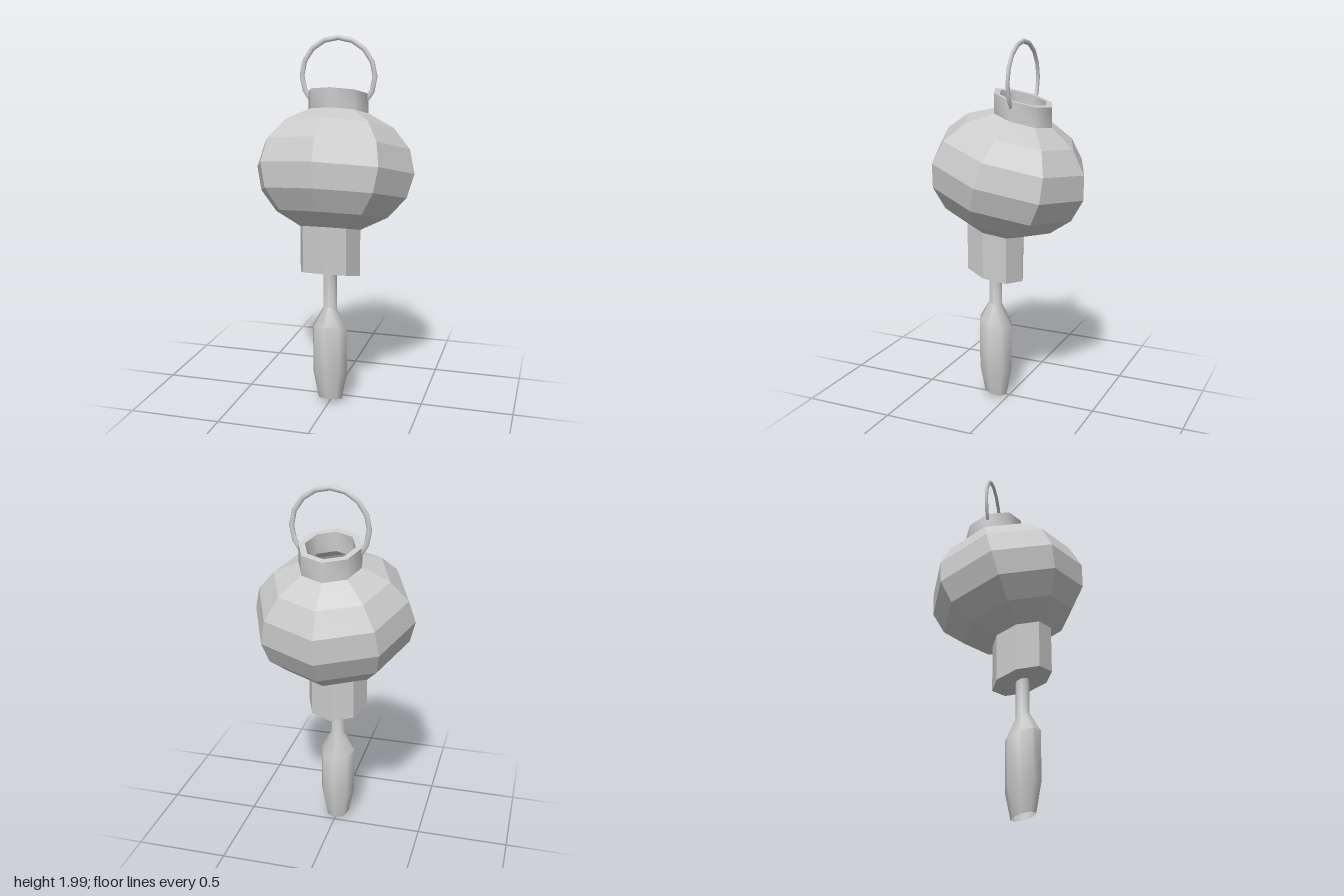
import * as THREE from 'three';
import { toCreasedNormals } from 'three/addons/utils/BufferGeometryUtils.js';

const TILT = Math.PI / 12;
const SIDES = 8;
const flat = new THREE.MeshStandardMaterial({ color: 0xcccccc, flatShading: true, side: THREE.DoubleSide });
const smooth = new THREE.MeshStandardMaterial({ color: 0xcccccc, side: THREE.DoubleSide });

const lathe = (profile) =>
  new THREE.LatheGeometry(profile.map(([r, y]) => new THREE.Vector2(r, y)), SIDES);

// Upright walls whose rings all lie in the tilted plane of the lantern.
function slantedLathe(profile, z) {
  const c = Math.cos(TILT), s = Math.sin(TILT);
  return lathe(profile).applyMatrix4(new THREE.Matrix4().set(
    1, 0, 0, 0,
    0, 1, s, 0,
    0, 0, c, z,
    0, 0, 0, 1));
}

export function createModel() {
  const group = new THREE.Group();
  const add = (name, geometry, material) => {
    const mesh = new THREE.Mesh(geometry, material);
    mesh.name = name;
    group.add(mesh);
    return mesh;
  };

  // Faceted body: a squashed sphere without its poles, tipped back
  const bodyProfile = [];
  for (let i = -3; i <= 3; i++) {
    const a = i * Math.PI / 8;
    bodyProfile.push([0.435 * Math.cos(a), 0.335 * Math.sin(a)]);
  }
  const body = add('lanternBody', lathe(bodyProfile), flat);
  body.rotation.x = -TILT;
  body.position.y = 1.295;

  // Open collar with a thick rim
  const collar = slantedLathe([[0.166, 1.594], [0.166, 1.697], [0.132, 1.697], [0.132, 1.594]], -0.08);
  add('collar', toCreasedNormals(collar, 0.9), smooth);

  // Lower neck, closed by a floor around the tassel cord
  add('lowerNeck', slantedLathe([[0.037, 0.742], [0.166, 0.742], [0.166, 0.996]], 0.08), flat);

  // Hollow tassel, open at the bottom
  const tassel = slantedLathe(
    [[0.067, 0.023], [0.097, 0.175], [0.097, 0.44], [0.038, 0.55], [0.038, 0.745]], 0.082);
  add('tassel', toCreasedNormals(tassel, 0.9), smooth);

  // Three-quarter ring handle, its ends sunk into the collar
  const handle = add('handle', new THREE.TorusGeometry(0.2, 0.0135, 8, 12, Math.PI * 1.5), smooth);
  handle.rotation.z = -Math.PI / 4;
  handle.scale.z = 0.7;
  handle.position.set(0, 1.786, -0.08);

  return group;
}
